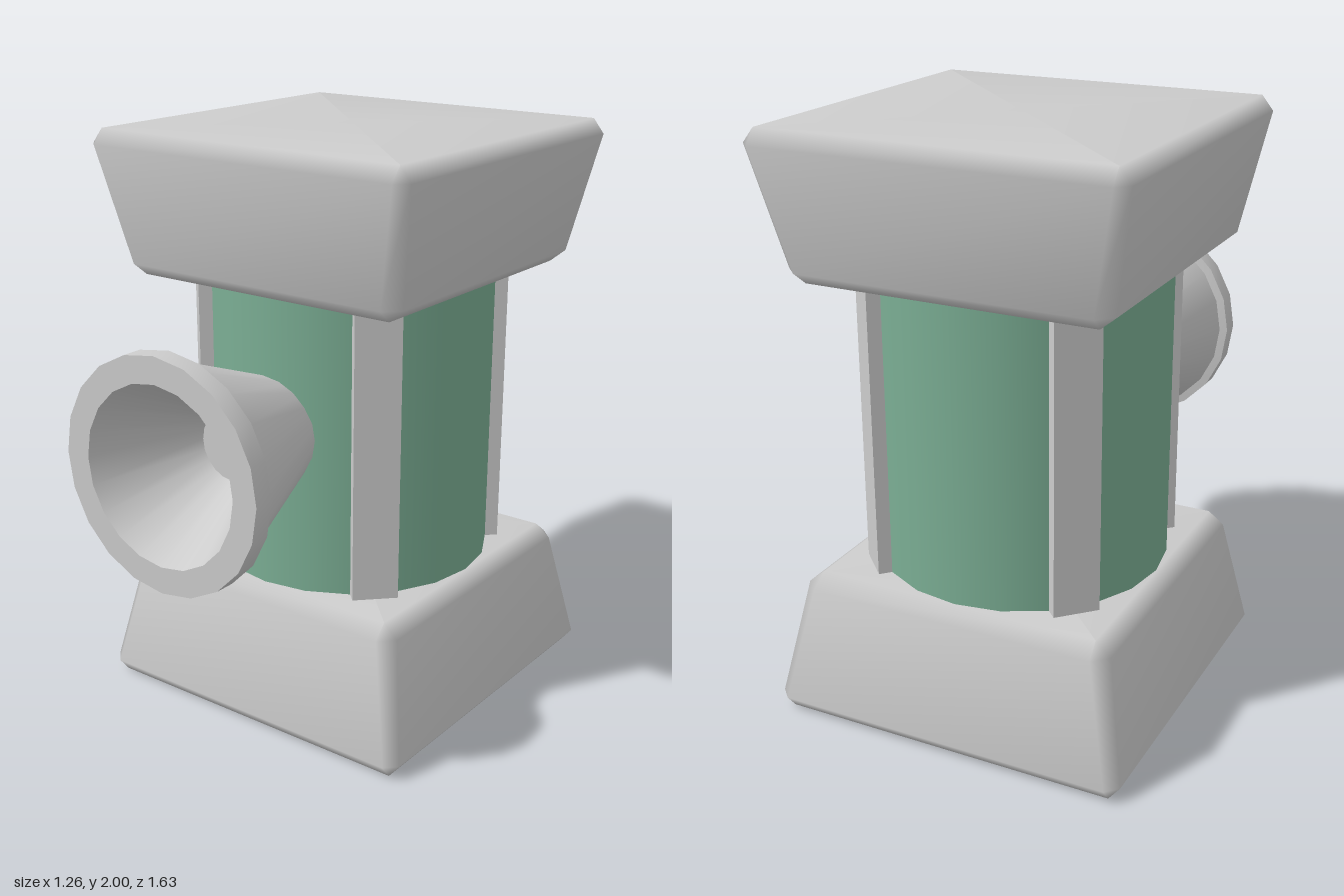
import * as THREE from 'three';
import { toCreasedNormals } from 'three/addons/utils/BufferGeometryUtils.js';

const BODY_Z = -0.19;
const grey = new THREE.MeshStandardMaterial({ color: 0xcccccc });
const green = new THREE.MeshStandardMaterial({ color: 0x7bae94 });

function addMesh(parent, name, geometry, material = grey) {
  const mesh = new THREE.Mesh(geometry, material);
  mesh.name = name;
  parent.add(mesh);
  return mesh;
}

// Tapered block with softly shaded chamfers, lofted from square rings with cut corners
function blockGeometry() {
  // [half width, y, corner cut]
  const rings = [[0.59, 0, 0], [0.63, 0.05, 0.04], [0.555, 0.45, 0.05], [0.5, 0.495, 0]];
  const positions = [], index = [];
  for (const [h, y, cut] of rings) {
    for (let k = 0; k < 4; k++) {
      const c = Math.round(Math.cos(k * Math.PI / 2)), s = Math.round(Math.sin(k * Math.PI / 2));
      for (const [x, z] of [[h - cut, h], [h, h - cut]]) {
        positions.push(x * c + z * s, y, -x * s + z * c);
      }
    }
  }
  for (let r = 0; r < rings.length - 1; r++) {
    for (let i = 0; i < 8; i++) {
      const a = r * 8 + i, b = r * 8 + (i + 1) % 8;
      index.push(a, b, b + 8, a, b + 8, a + 8);
    }
  }
  // Caps
  const bottom = positions.length / 3, top = bottom + 1, last = (rings.length - 1) * 8;
  positions.push(0, 0, 0, 0, 0.495, 0);
  for (let i = 0; i < 8; i++) {
    const j = (i + 1) % 8;
    index.push(bottom, j, i, top, last + i, last + j);
  }
  const g = new THREE.BufferGeometry();
  g.setAttribute('position', new THREE.Float32BufferAttribute(positions, 3));
  g.setIndex(index);
  g.computeVertexNormals();
  return g;
}

export function createModel() {
  const model = new THREE.Group();
  model.name = 'pillarWithHorn';

  // Base and its upside-down twin on top
  const block = blockGeometry();
  addMesh(model, 'base', block).position.z = BODY_Z;
  const cap = addMesh(model, 'cap', block);
  cap.position.set(0, 2, BODY_Z);
  cap.rotation.x = Math.PI;

  // Round body
  const body = addMesh(model, 'body', new THREE.CylinderGeometry(0.497, 0.497, 1.03, 20), green);
  body.position.set(0, 1, BODY_Z);

  // Four diagonal bars
  const bar = new THREE.BoxGeometry(0.155, 1.03, 0.12);
  for (let i = 0; i < 4; i++) {
    const angle = Math.PI / 4 + i * Math.PI / 2, r = 0.537 - 0.06;
    const mesh = addMesh(model, 'bar' + (i + 1), bar);
    mesh.position.set(Math.sin(angle) * r, 1, BODY_Z + Math.cos(angle) * r);
    mesh.rotation.y = angle;
  }

  // Hollow horn with a raised rim, profile as radius and z
  const profile = [
    [0, 0.2], [0.16, 0.2], [0.362, 0.74], [0.39, 0.745],
    [0.39, 0.815], [0.3, 0.815], [0.12, 0.47], [0, 0.47],
  ].map(([r, z]) => new THREE.Vector2(r, z));
  const horn = addMesh(model, 'horn', toCreasedNormals(new THREE.LatheGeometry(profile, 20), 0.5));
  horn.rotation.x = Math.PI / 2;
  horn.position.y = 1.04;

  return model;
}
